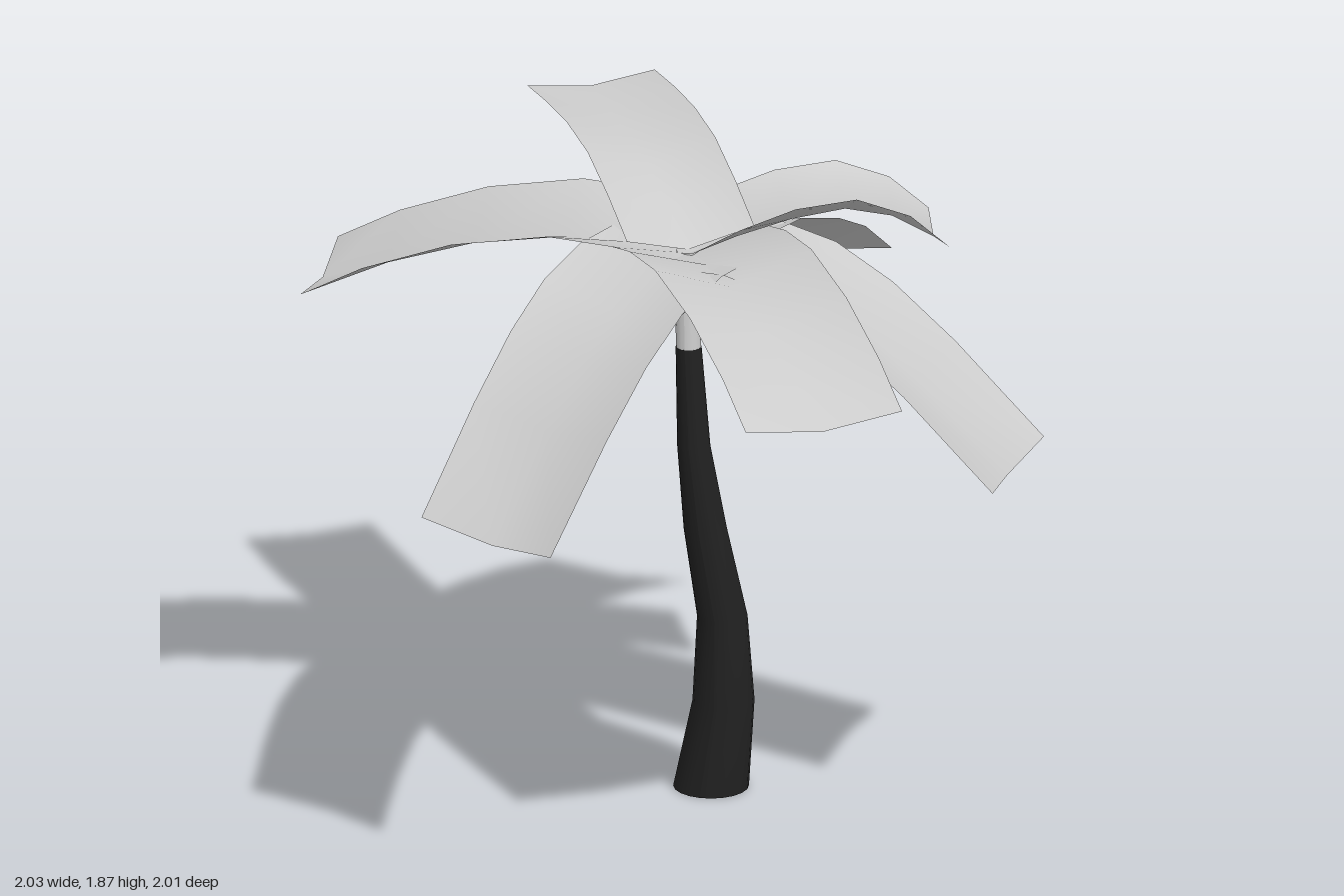
import * as THREE from 'three';

const bark = new THREE.MeshStandardMaterial({ color: 0x222222 });
bark.name = 'darkBark';
const leaf = new THREE.MeshStandardMaterial({ color: 0xcccccc, side: THREE.DoubleSide });
leaf.name = 'paleLeaf';

// Bent, tapering tube; rings are [x, y, z, radius] from bottom to top
function bentTube(name, rings, material) {
  const n = rings.length - 1;
  const geo = new THREE.CylinderGeometry(1, 1, 1, 20, n);
  const p = geo.attributes.position;
  for (let i = 0; i < p.count; i++) {
    const [x, y, z, r] = rings[Math.round((p.getY(i) + 0.5) * n)];
    p.setXYZ(i, x + p.getX(i) * r, y, z + p.getZ(i) * r);
  }
  geo.computeVertexNormals();
  const mesh = new THREE.Mesh(geo, material);
  mesh.name = name;
  return mesh;
}

// Trough-shaped leaf: a midrib running to the tip, with both edges raised along its normal
const CROWN = [0.055, -0.085];
function frond({ name, tip, half, rib, depth, skew = 0 }) {
  const dx = tip[0] - CROWN[0], dz = tip[1] - CROWN[1];
  const length = Math.hypot(dx, dz);
  const dir = new THREE.Vector3(dx / length, 0, dz / length);
  const side = new THREE.Vector3(-dir.z, 0, dir.x);
  const pts = rib.map(([t, y]) =>
    new THREE.Vector3(CROWN[0] + dx * t, y, CROWN[1] + dz * t));
  const pos = [], index = [];
  pts.forEach((c, i) => {
    const along = pts[Math.min(i + 1, pts.length - 1)].clone()
      .sub(pts[Math.max(i - 1, 0)]).normalize();
    const normal = new THREE.Vector3().crossVectors(side, along).normalize();
    if (normal.y < 0) normal.negate();
    for (const s of [-1, 0, 1]) {
      const v = c.clone().addScaledVector(side, s * half)
        .addScaledVector(normal, Math.abs(s) * depth[i])
        .addScaledVector(dir, s * skew * rib[i][0]);
      pos.push(v.x, v.y, v.z);
    }
    if (i > 0) {
      for (let k = 0; k < 2; k++) {
        const a = (i - 1) * 3 + k, b = a + 1, d = a + 3, e = a + 4;
        index.push(a, b, d, b, e, d);
      }
    }
  });
  // Make the upper side the front face
  for (let i = 0; i < index.length; i += 3) {
    [index[i + 1], index[i + 2]] = [index[i + 2], index[i + 1]];
  }
  const geo = new THREE.BufferGeometry();
  geo.setAttribute('position', new THREE.Float32BufferAttribute(pos, 3));
  geo.setIndex(index);
  geo.computeVertexNormals();
  const mesh = new THREE.Mesh(geo, leaf);
  mesh.name = name;
  return mesh;
}

// Midrib profiles: [fraction of length, height]
const arched = {
  rib: [[0, 1.63], [0.15, 1.65], [0.33, 1.65], [0.58, 1.61], [0.82, 1.53], [1, 1.47]],
  depth: [0.05, 0.07, 0.085, 0.08, 0.07, 0.035],
};
const drooping = {
  rib: [[0, 1.63], [0.18, 1.62], [0.36, 1.57], [0.53, 1.48], [0.72, 1.33], [1, 1.08]],
  depth: [0.04, 0.05, 0.055, 0.05, 0.05, 0.045],
};
const sloping = {
  rib: [[0, 1.63], [0.17, 1.63], [0.34, 1.61], [0.6, 1.53], [0.8, 1.45], [1, 1.335]],
  depth: [0.05, 0.05, 0.05, 0.05, 0.045, 0.035],
};
const rising = {
  rib: [[0, 1.64], [0.2, 1.71], [0.4, 1.77], [0.6, 1.8], [0.8, 1.82], [1, 1.835]],
  depth: [0.06, 0.07, 0.075, 0.07, 0.05, 0.025],
};
const curled = {
  rib: [[0, 1.63], [0.2, 1.67], [0.42, 1.71], [0.64, 1.73], [0.83, 1.7], [1, 1.63]],
  depth: [0.06, 0.08, 0.09, 0.085, 0.06, 0.03],
};

const FRONDS = [
  { name: 'leftFrond', tip: [0.985, -0.083], half: 0.234, ...drooping },
  { name: 'rightFrond', tip: [-0.98, -0.002], half: 0.233, ...arched },
  { name: 'frontLeftFrond', tip: [0.705, 0.73], half: 0.232, ...arched },
  { name: 'frontFrond', tip: [-0.21, 0.875], half: 0.236, skew: -0.035, ...drooping },
  { name: 'backFrond', tip: [0.163, -0.965], half: 0.207, ...sloping },
  { name: 'backRightFrond', tip: [-0.433, -0.733], half: 0.187, ...rising },
  { name: 'backLeftFrond', tip: [0.665, -0.415], half: 0.157, ...curled },
];

export function createModel() {
  const model = new THREE.Group();
  model.name = 'palmTree';

  // Curving trunk and the pale stalk above it
  model.add(bentTube('trunk', [
    [0.075, 0, -0.235, 0.105],
    [0.12, 0.27, -0.207, 0.086],
    [0.125, 0.53, -0.18, 0.07],
    [0.09, 0.8, -0.135, 0.06],
    [0.07, 1.06, -0.092, 0.046],
    [0.062, 1.36, -0.07, 0.036],
  ], bark));
  model.add(bentTube('crownStalk', [
    [0.062, 1.36, -0.07, 0.035],
    [0.057, 1.5, -0.075, 0.034],
    [0.055, 1.64, -0.085, 0.032],
  ], leaf));

  // Fruit clustered round the stalk
  const fruits = new THREE.Group();
  fruits.name = 'fruits';
  for (let i = 0; i < 3; i++) {
    const a = Math.PI * 1.25 + i * Math.PI * 2 / 3;
    const fruit = new THREE.Mesh(new THREE.SphereGeometry(0.042, 16, 12), leaf);
    fruit.name = 'fruit';
    fruit.position.set(0.057 + 0.07 * Math.cos(a), 1.51, -0.075 + 0.07 * Math.sin(a));
    fruits.add(fruit);
  }
  model.add(fruits);

  // Crown of fronds
  const crown = new THREE.Group();
  crown.name = 'crown';
  FRONDS.forEach((f) => crown.add(frond(f)));
  model.add(crown);

  return model;
}
